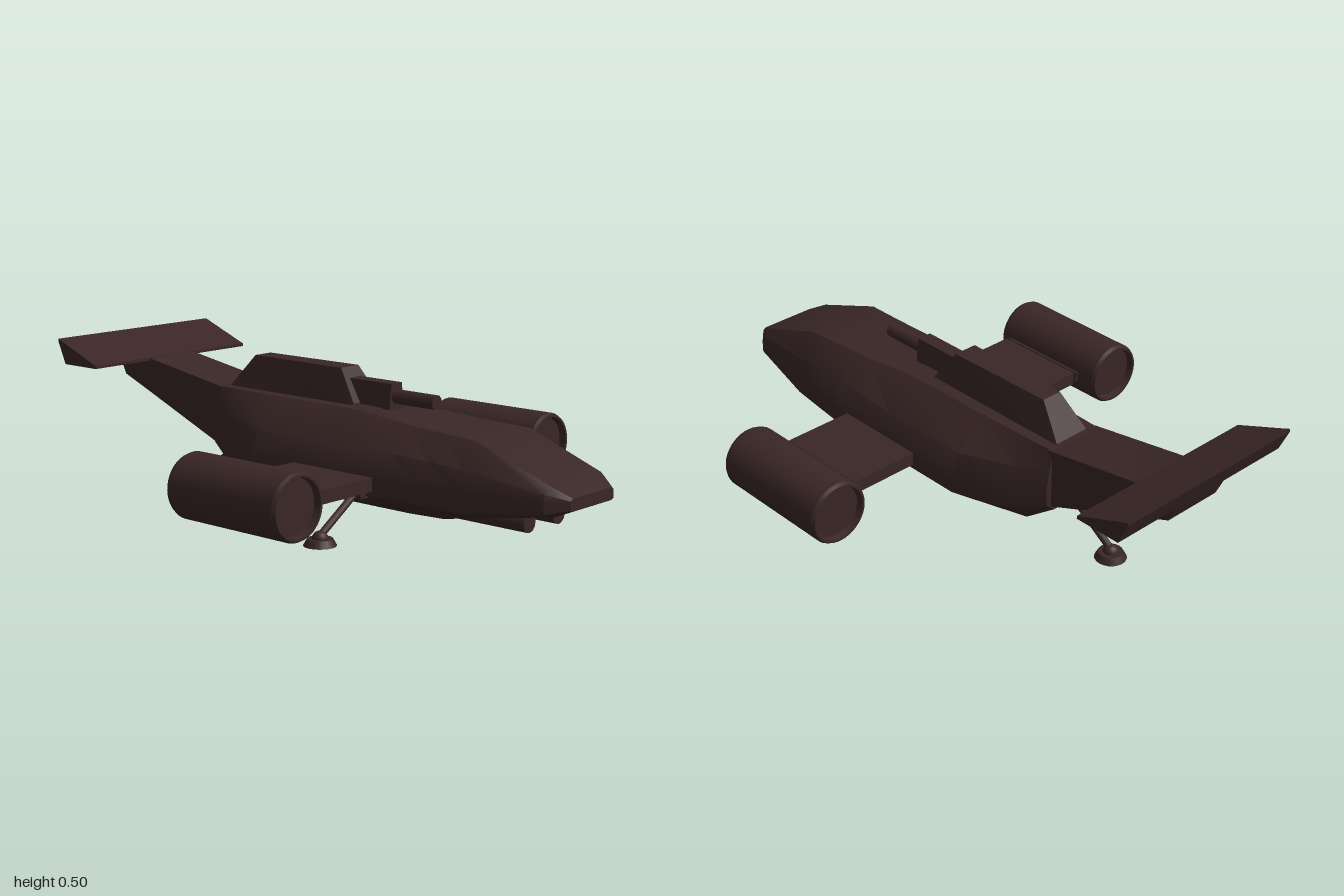
import * as THREE from 'three';
import { toCreasedNormals } from 'three/addons/utils/BufferGeometryUtils.js';

const hullPaint = new THREE.MeshStandardMaterial({ color: 0x3a2626 });
hullPaint.name = 'dark brown hull';

// Skin over rings of [x, y, z] points, counterclockwise seen from +z, ordered front to back
function loft(rings, crease = 0.5) {
  const n = rings[0].length, index = [], last = (rings.length - 1) * n;
  for (let i = 0; i < rings.length - 1; i++) {
    for (let j = 0; j < n; j++) {
      const a = i * n + j, b = i * n + (j + 1) % n;
      index.push(a, a + n, b, b, a + n, b + n);
    }
  }
  for (let j = 1; j < n - 1; j++) index.push(0, j, j + 1, last, last + j + 1, last + j);
  const g = new THREE.BufferGeometry();
  g.setAttribute('position', new THREE.Float32BufferAttribute(rings.flat(2), 3));
  g.setIndex(index);
  return toCreasedNormals(g, crease);
}

// Four-sided loft from [z, bottom half width, top half width, bottom y, top y]
const boxLoft = (rows) => loft(rows.map(([z, b, t, y0, y1]) =>
  [[-b, y0, z], [b, y0, z], [t, y1, z], [-t, y1, z]]), 0.3);

export function createModel() {
  const model = new THREE.Group();
  const add = (name, geometry, x = 0, y = 0, z = 0) => {
    const mesh = new THREE.Mesh(geometry, hullPaint);
    mesh.name = name;
    mesh.position.set(x, y, z);
    model.add(mesh);
    return mesh;
  };
  const rod = (name, from, to, r) => {
    const a = new THREE.Vector3(...from), b = new THREE.Vector3(...to), d = b.clone().sub(a);
    const mesh = add(name, new THREE.CylinderGeometry(r, r, d.length(), 12));
    mesh.position.copy(a).add(b).multiplyScalar(0.5);
    mesh.quaternion.setFromUnitVectors(new THREE.Vector3(0, 1, 0), d.normalize());
  };

  // Fuselage: z, then half width and height of keel, lower side, upper side, shoulder and deck
  const sections = [
    [1.0, 0.10, 0.16, 0.11, 0.165, 0.11, 0.185, 0.11, 0.192, 0.10, 0.2],
    [0.94, 0.11, 0.135, 0.16, 0.15, 0.16, 0.19, 0.155, 0.21, 0.13, 0.232],
    [0.67, 0.12, 0.09, 0.21, 0.12, 0.21, 0.185, 0.195, 0.25, 0.135, 0.33],
    [0.54, 0.12, 0.065, 0.23, 0.125, 0.23, 0.185, 0.205, 0.26, 0.13, 0.335],
    [0.4, 0.12, 0.06, 0.25, 0.13, 0.25, 0.185, 0.215, 0.265, 0.125, 0.342],
    [0.18, 0.12, 0.06, 0.25, 0.13, 0.25, 0.185, 0.22, 0.265, 0.115, 0.36],
    [-0.16, 0.12, 0.06, 0.25, 0.13, 0.25, 0.185, 0.22, 0.265, 0.11, 0.36],
    [-0.35, 0.10, 0.06, 0.175, 0.13, 0.175, 0.2, 0.16, 0.28, 0.105, 0.36],
    [-0.46, 0.09, 0.14, 0.125, 0.17, 0.125, 0.24, 0.115, 0.3, 0.1, 0.36],
  ];
  add('fuselage', loft(sections.map(([z, ...p]) => {
    const right = [];
    for (let i = 0; i < p.length; i += 2) right.push([p[i], p[i + 1], z]);
    return [...right, ...right.map(([x, y]) => [-x, y, z]).reverse()];
  })));

  // Upswept tail boom and wedge-shaped tail plane
  add('tailBoom', boxLoft([
    [-0.44, 0.105, 0.105, 0.15, 0.358],
    [-0.81, 0.105, 0.105, 0.3, 0.419],
    [-0.935, 0.105, 0.105, 0.35, 0.468],
    [-0.998, 0.105, 0.105, 0.485, 0.493],
  ]));
  add('tailPlane', boxLoft([
    [-0.805, 0.355, 0.355, 0.41, 0.42],
    [-0.965, 0.355, 0.355, 0.41, 0.482],
    [-1.0, 0.355, 0.355, 0.486, 0.496],
  ]));

  // Dorsal turret and its stepped gun
  add('turret', boxLoft([
    [0.12, 0.07, 0.065, 0.35, 0.365],
    [0.045, 0.07, 0.042, 0.35, 0.47],
    [-0.35, 0.07, 0.036, 0.35, 0.47],
    [-0.44, 0.07, 0.065, 0.35, 0.362],
  ]));
  add('gunHousing', boxLoft([
    [0.245, 0.036, 0.025, 0.355, 0.438],
    [0.03, 0.036, 0.025, 0.355, 0.438],
  ]));
  rod('gunBarrel', [0, 0.395, 0.41], [0, 0.395, 0.2], 0.024);

  // Lathe profile of an engine pod with recessed ends
  const podProfile = [[0, -0.205], [0.088, -0.205], [0.092, -0.228], [0.1, -0.228], [0.106, -0.216],
    [0.106, 0.216], [0.1, 0.228], [0.092, 0.228], [0.088, 0.205], [0, 0.205]]
    .map(([x, y]) => new THREE.Vector2(x, y));
  const podGeometry = toCreasedNormals(new THREE.LatheGeometry(podProfile, 40), 0.4);

  const foot = (x, z) => {
    add('footPad', new THREE.CylinderGeometry(0.04, 0.052, 0.022, 20), x, 0.011, z);
    add('footDome', new THREE.SphereGeometry(0.026, 16, 8, 0, Math.PI * 2, 0, Math.PI / 2), x, 0.02, z);
  };

  for (const s of [1, -1]) {
    // Stub wing, end plate, pivot and engine pod
    add('wing', new THREE.BoxGeometry(0.31, 0.044, 0.335), s * 0.34, 0.167, 0.193);
    add('wingEndPlate', new THREE.BoxGeometry(0.025, 0.034, 0.335), s * 0.518, 0.167, 0.193);
    rod('podPivot', [s * 0.48, 0.167, 0.19], [s * 0.56, 0.167, 0.19], 0.014);
    add('enginePod', podGeometry, s * 0.62, 0.167, 0.176).rotation.x = Math.PI / 2;

    // Splayed front landing leg
    add('legSocket', new THREE.BoxGeometry(0.07, 0.03, 0.06), s * 0.24, 0.135, 0.305);
    rod('frontLeg', [s * 0.25, 0.145, 0.305], [s * 0.425, 0.03, 0.305], 0.012);
    foot(s * 0.425, 0.305);

    // Chin rail below the nose
    rod('chinRail', [s * 0.075, 0.092, 0.83], [s * 0.075, 0.092, 0.4], 0.03);
  }

  // Rear landing leg
  rod('rearLeg', [0, 0.145, -0.455], [0, 0.03, -0.625], 0.012);
  add('rearLegJoint', new THREE.SphereGeometry(0.022, 14, 10), 0, 0.14, -0.46);
  foot(0, -0.625);

  return model;
}
